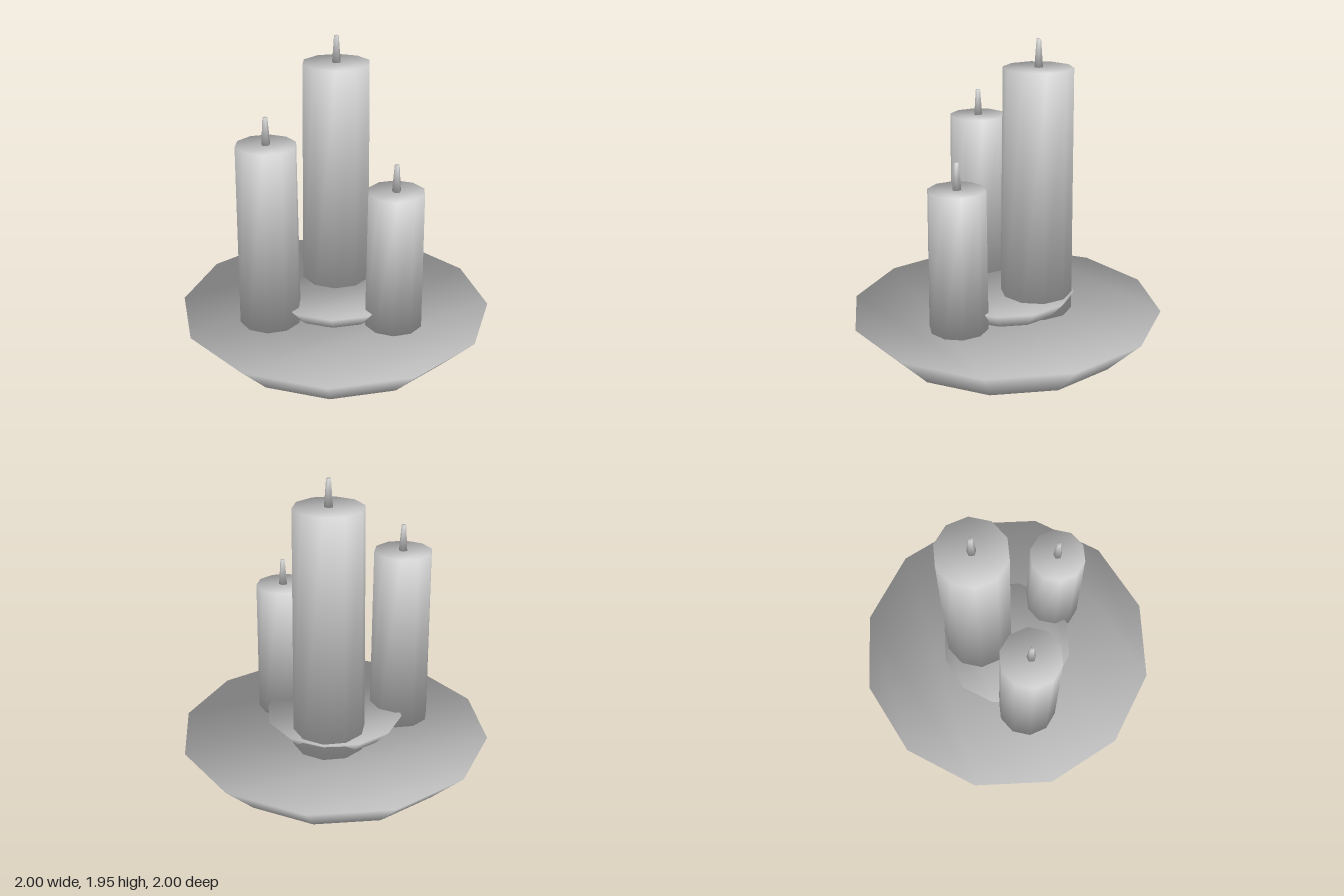
import * as THREE from 'three';

const grey = new THREE.MeshStandardMaterial({ color: 0xcccccc });
grey.name = 'plain grey';

// Closed tapered prism with one shared smooth normal per corner (angle weighted)
function smoothPrism(sides, bottomRadius, topRadius, height) {
  const positions = [], normals = [], index = [];
  const slope = new THREE.Vector2(height, bottomRadius - topRadius).normalize();
  const sideWeight = Math.PI * Math.cos(Math.PI / sides);
  const capWeight = Math.PI * (1 - 2 / sides);
  for (const [radius, y, up] of [[bottomRadius, 0, -1], [topRadius, height, 1]]) {
    const n = new THREE.Vector2(slope.x * sideWeight, slope.y * sideWeight + up * capWeight).normalize();
    for (let i = 0; i < sides; i++) {
      const t = (i / sides) * Math.PI * 2;
      positions.push(radius * Math.sin(t), y, radius * Math.cos(t));
      normals.push(n.x * Math.sin(t), n.y, n.x * Math.cos(t));
    }
  }
  const bottom = (i) => (i + sides) % sides;
  const top = (i) => bottom(i) + sides;
  // Side walls
  for (let i = 0; i < sides; i++) {
    index.push(bottom(i), bottom(i + 1), top(i + 1), bottom(i), top(i + 1), top(i));
  }
  // Flat caps, as strips of parallel chords
  const start = Math.floor(sides / 2) + 1;
  for (let j = 0; j < sides / 2 - 1; j++) {
    const a = start - j, b = start + 1 + j;
    const tris = [[a - 1, a, b]];
    if (bottom(a - 1) !== bottom(b + 1)) tris.push([a - 1, b, b + 1]);
    for (const [p, q, r] of tris) {
      index.push(top(p), top(q), top(r), bottom(r), bottom(q), bottom(p));
    }
  }
  const geometry = new THREE.BufferGeometry();
  geometry.setAttribute('position', new THREE.Float32BufferAttribute(positions, 3));
  geometry.setAttribute('normal', new THREE.Float32BufferAttribute(normals, 3));
  geometry.setIndex(index);
  return geometry;
}

function addPart(parent, name, geometry, y) {
  const mesh = new THREE.Mesh(geometry, grey);
  mesh.name = name;
  mesh.position.y = y;
  parent.add(mesh);
  return mesh;
}

export function createModel() {
  const model = new THREE.Group();
  model.name = 'candleDisplay';
  const plateTop = 0.225;

  // Wide plate and the small raised dish on it
  addPart(model, 'plate', smoothPrism(12, 0.78, 1, plateTop), 0);
  addPart(model, 'innerDish', smoothPrism(12, 0.343, 0.443, 0.11), plateTop);

  // Three tapered candles with wicks
  const candles = [
    ['tallCandle', 0, -0.197, 0.23, 0.215, 1.782],
    ['mediumCandle', -0.4, 0.231, 0.196, 0.185, 1.392],
    ['shortCandle', 0.376, 0.245, 0.185, 0.176, 1.113],
  ];
  for (const [name, x, z, bottomRadius, topRadius, topY] of candles) {
    const candle = new THREE.Group();
    candle.name = name;
    candle.position.set(x, 0, z);
    addPart(candle, 'wax', smoothPrism(10, bottomRadius, topRadius, topY - plateTop), plateTop);
    addPart(candle, 'wick', smoothPrism(5, 0.028, 0.015, 0.167), topY).rotation.y = Math.PI;
    model.add(candle);
  }
  return model;
}
